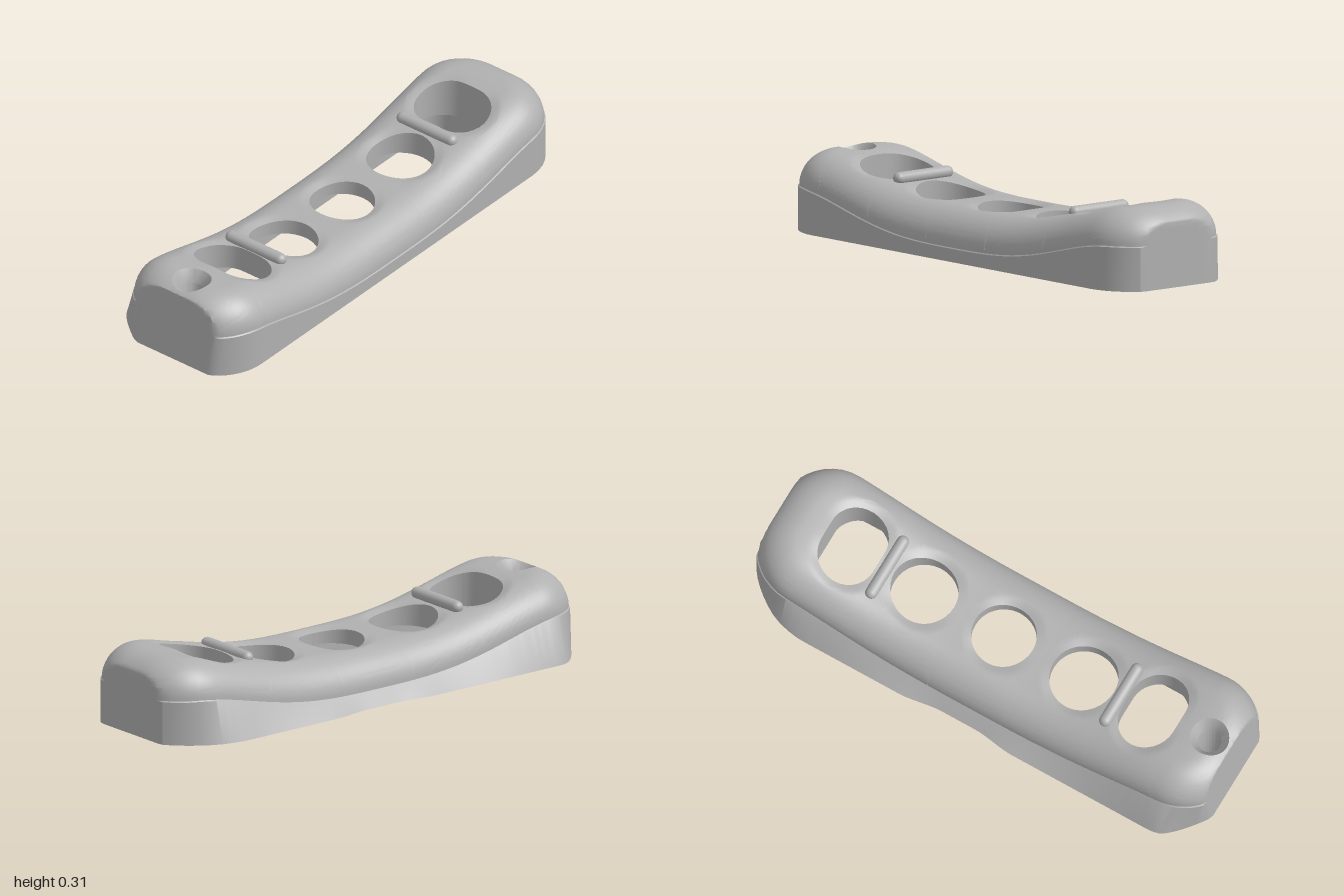
import * as THREE from 'three';
import { toCreasedNormals, mergeGeometries } from 'three/addons/utils/BufferGeometryUtils.js';

const CX = 0.03, HW = 0.28, HL = 1.03, R = 0.22; // plan of the body before its ends are cut flat
const CEILING = 0.13;                            // height of the underside pocket
const V = (x, y, z) => new THREE.Vector3(x, y, z);
const clamp = THREE.MathUtils.clamp, smooth = THREE.MathUtils.smoothstep;

// Saddle line along the length
const ridge = z => 0.19 + 0.118 * smooth(Math.pow(Math.min(Math.abs(z) / 0.9, 1), 1.6), 0, 1);

// Half width of the plan at z
function halfWidth(z) {
  const q = Math.max(0, Math.abs(z) - (HL - R));
  return HW - R + Math.sqrt(Math.max(0, R * R - q * q));
}

// Height of the upper surface: the ridge less an elliptical edge rounding
function height(x, z) {
  const qx = Math.abs(x) - (HW - R), qz = Math.abs(z) - (HL - R);
  const d = R - Math.hypot(Math.max(qx, 0), Math.max(qz, 0)) - Math.min(Math.max(qx, qz), 0);
  const t = clamp(1 - d / 0.145, 0, 1);
  return ridge(z) - 0.135 * (1 - Math.sqrt(1 - t * t));
}

// Trim both ends with flat planes
const place = (x, y, z) => V(x + CX, y, clamp(z, -1, 1 - 0.1 * y));

// Surface through a stack of closed rings
function loft(rings) {
  const n = rings[0].length, index = [], pos = [];
  rings.forEach(r => r.forEach(p => pos.push(p.x, p.y, p.z)));
  for (let j = 0; j < rings.length - 1; j++) {
    for (let i = 0; i < n; i++) {
      const k = (i + 1) % n, a = j * n, b = a + n;
      index.push(a + i, a + k, b + k, a + i, b + k, b + i);
    }
  }
  const g = new THREE.BufferGeometry();
  g.setAttribute('position', new THREE.Float32BufferAttribute(pos, 3));
  g.setIndex(index);
  return g;
}

// Flat face looking down, with openings
function flatFace(outline, openings, y) {
  const to2 = ring => ring.map(p => new THREE.Vector2(p.x, p.z));
  const s = new THREE.Shape(to2(outline));
  openings.forEach(o => s.holes.push(new THREE.Path(to2(o))));
  return new THREE.ShapeGeometry(s).rotateX(Math.PI / 2).translate(0, y, 0);
}

// Distance from the centre of a stadium opening to its rim
function rimRadius(c, s, hw, hl) {
  const a = hw - hl;
  if (Math.abs(s) > 1e-6) {
    const t = hl / Math.abs(s);
    if (t * Math.abs(c) <= a) return t;
  }
  const ac = a * Math.abs(c);
  return ac + Math.sqrt(Math.max(0, ac * ac - a * a + hl * hl));
}

const bounds = [-HL, -0.532, -0.19, 0.153, 0.495, 0.78, HL];
const holes = [
  { z: -0.68, hw: 0.157, hl: 0.114 },
  { z: -0.367, hw: 0.13, hl: 0.13 },
  { z: -0.018, hw: 0.125, hl: 0.125 },
  { z: 0.333, hw: 0.132, hl: 0.132 },
  { z: 0.638, hw: 0.157, hl: 0.114 },
  { z: 0.884, hw: 0.075, hl: 0.075, screw: true },
];

// Rows along a cell, closer together at the rounded ends
function rows(k) {
  const n = 16, out = [], a = bounds[k], b = bounds[k + 1];
  for (let i = 0; i <= n; i++) {
    let u = i / n;
    if (k === 0) u = 1 - Math.cos(u * Math.PI / 2);
    if (k === holes.length - 1) u = Math.sin(u * Math.PI / 2);
    out.push(a + (b - a) * u);
  }
  return out;
}

// Closed plan loop down the left, across the front, up the right, across the back
function planLoop(zs) {
  const pts = [], n = 28, a = zs[0], b = zs[zs.length - 1];
  for (const z of zs) pts.push([halfWidth(z), z]);
  for (let i = 1; i < n; i++) pts.push([halfWidth(b) * Math.cos(i / n * Math.PI), b]);
  for (const z of [...zs].reverse()) pts.push([-halfWidth(z), z]);
  for (let i = 1; i < n; i++) pts.push([-halfWidth(a) * Math.cos(i / n * Math.PI), a]);
  return pts;
}

export function createModel() {
  const group = new THREE.Group();
  const grey = new THREE.MeshStandardMaterial({ color: 0xb0b0b0 });
  grey.name = 'grey';
  const add = (name, geometry) => {
    const m = new THREE.Mesh(geometry, grey);
    m.name = name;
    group.add(m);
    return m;
  };

  // Upper shell: one ring patch around each opening
  const patches = [], ceilingOpenings = [], bottomOpenings = [];
  holes.forEach((h, k) => {
    const rays = planLoop(rows(k)).map(([x, z]) => {
      const len = Math.hypot(x, z - h.z), c = x / len, s = (z - h.z) / len;
      return { c, s, len, rim: rimRadius(c, s, h.hw, h.hl) };
    });
    const rings = [];
    if (h.screw) {
      for (const y of [0, 0.255]) rings.push(rays.map(r => V(CX + r.c * 0.045, y, h.z + r.s * 0.045)));
      bottomOpenings.push(rings[0]);
    } else {
      rings.push(rays.map(r => V(CX + r.c * r.rim, CEILING, h.z + r.s * r.rim)));
      ceilingOpenings.push(rings[0]);
    }
    const steps = 24;
    for (let j = 0; j <= steps; j++) {
      const t = 1 - Math.pow(1 - j / steps, 1.8);
      rings.push(rays.map(r => {
        const e = (r.len - r.rim) * t, x = r.c * (r.rim + e), z = h.z + r.s * (r.rim + e);
        const relief = h.screw ? 0 : 0.014 * Math.max(0, 1 - e / 0.035) * r.c * r.c;
        return place(x, height(x, z) - relief, z);
      }));
    }
    patches.push(loft(rings));
  });
  add('upperShell', toCreasedNormals(mergeGeometries(patches), 0.6));

  // Base skirt with a small ledge and a flared right side
  const allRows = holes.flatMap((h, k) => rows(k).slice(k ? 1 : 0));
  const outline = planLoop(allRows);
  const seam = outline.map(([x, z]) => place(x, height(x, z), z));
  const ledge = outline.map(([x, z]) => place(x * 1.013, height(x, z) - 0.004, z * 1.004));
  const foot = outline.map(([x, z]) => {
    const waist = 0.02 * (1 - smooth(Math.abs(z + 0.03), 0.07, 0.25));
    const fade = smooth(z, -0.99, -0.7) * (1 - smooth(z, 0.84, 1.02));
    const flare = x < 0 ? (0.062 - waist) * fade * Math.pow(x / HW, 2) : 0;
    return place(x * 1.013 - flare, 0, z * 1.004);
  });
  add('baseSkirt', toCreasedNormals(loft([seam, ledge, foot]), 0.5));

  // Underside pocket, rounded at its corners
  const pocket = y => {
    const out = [], r = 0.08;
    [[1, 1], [-1, 1], [-1, -1], [1, -1]].forEach(([sx, sz], q) => {
      for (let i = 0; i <= 8; i++) {
        const a = (q + i / 8) * Math.PI / 2;
        out.push(V(0.02 + sx * 0.12 + r * Math.cos(a), y, -0.015 + sz * 0.72 + r * Math.sin(a)));
      }
    });
    return out;
  };
  add('pocketWall', toCreasedNormals(loft([pocket(0), pocket(CEILING)]), 0.6));
  add('pocketCeiling', flatFace(pocket(0), ceilingOpenings, CEILING));

  // Blind hole under the back end
  const blind = y => Array.from({ length: 32 }, (_, i) => {
    const a = i / 32 * Math.PI * 2;
    return V(CX + 0.045 * Math.cos(a), y, -0.905 + 0.045 * Math.sin(a));
  });
  bottomOpenings.push(blind(0), pocket(0));
  add('blindHoleWall', toCreasedNormals(loft([blind(0), blind(0.15)]), 0.6));
  add('blindHoleEnd', flatFace(blind(0), [], 0.15));

  // Flat underside
  const footLoop = foot.filter((p, i) => p.distanceTo(foot[(i + 1) % foot.length]) > 1e-5);
  add('underside', flatFace(footLoop, bottomOpenings, 0));

  // Two round cross bars
  for (const [name, z] of [['backBar', -0.53], ['frontBar', 0.497]]) {
    const bar = add(name, new THREE.CapsuleGeometry(0.024, 0.237, 8, 24));
    bar.rotation.z = Math.PI / 2;
    bar.position.set(0.028, 0.241, z);
  }
  return group;
}
